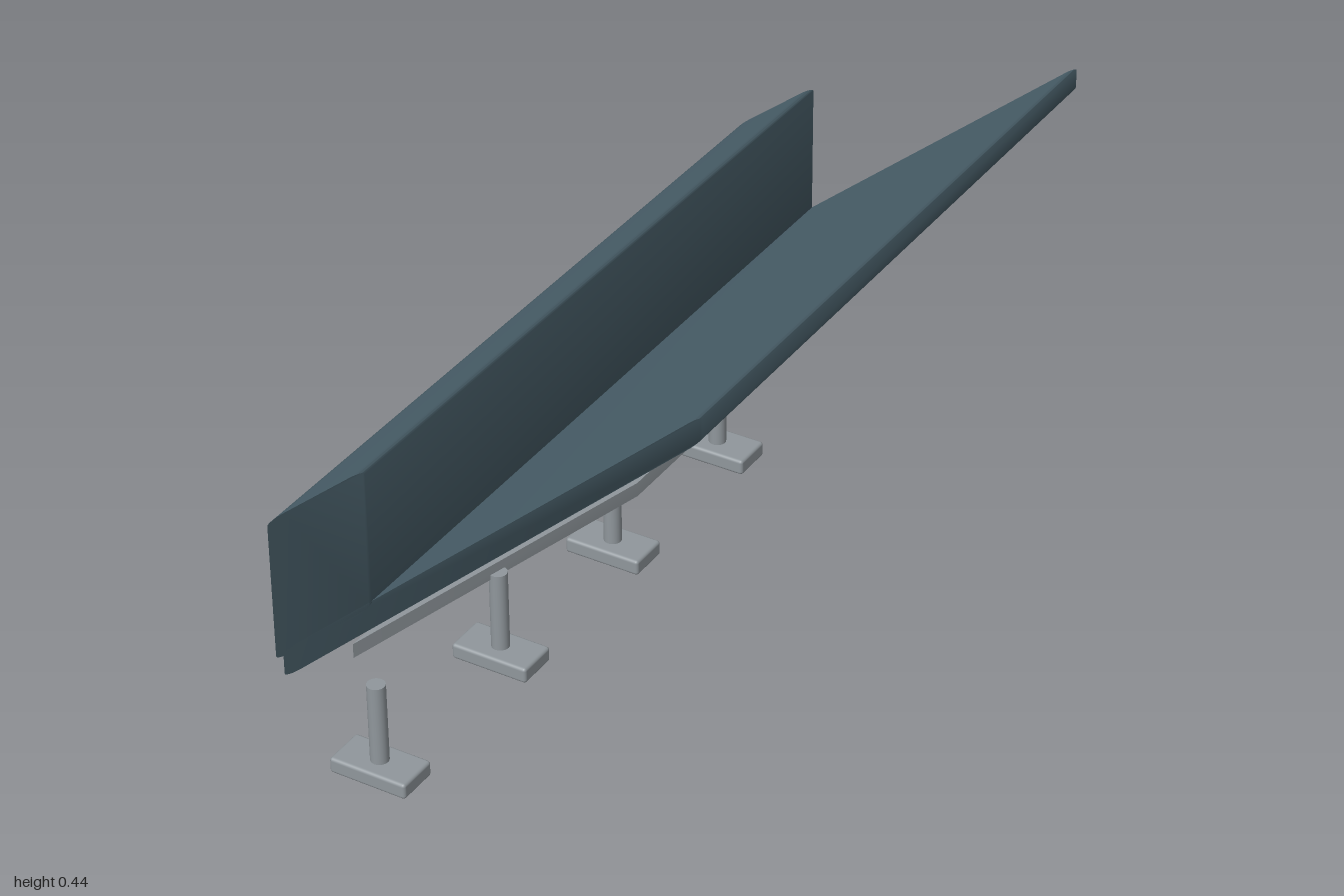
import * as THREE from 'three';
import { toCreasedNormals } from 'three/addons/utils/BufferGeometryUtils.js';
import { RoundedBoxGeometry } from 'three/addons/geometries/RoundedBoxGeometry.js';

const SLOPE = -4.04; // z shift per unit of x, giving the slanted plan
const FRONT = 0.606, LENGTH = 1.22;

// Rectangle in x/y with rounded corners of radius r
function profile(x0, x1, y0, y1, r) {
  const s = new THREE.Shape();
  if (r === 0) {
    s.moveTo(x0, y0).lineTo(x1, y0).lineTo(x1, y1).lineTo(x0, y1);
    return s;
  }
  s.absarc(x1 - r, y0 + r, r, -Math.PI / 2, 0);
  s.absarc(x1 - r, y1 - r, r, 0, Math.PI / 2);
  s.absarc(x0 + r, y1 - r, r, Math.PI / 2, Math.PI);
  s.absarc(x0 + r, y0 + r, r, Math.PI, Math.PI * 1.5);
  s.closePath();
  return s;
}

// Bar along z whose ends are sheared into a parallelogram plan
function slantedBar(name, material, x0, x1, y0, y1, r) {
  const geo = new THREE.ExtrudeGeometry(profile(x0, x1, y0, y1, r), {
    depth: LENGTH, bevelEnabled: false, curveSegments: 5,
  });
  const shear = new THREE.Matrix4().set(
    1, 0, 0, 0,
    0, 1, 0, 0,
    SLOPE, 0, 1, FRONT - LENGTH,
    0, 0, 0, 1);
  geo.applyMatrix4(shear);
  const mesh = new THREE.Mesh(toCreasedNormals(geo, 0.6), material);
  mesh.name = name;
  return mesh;
}

export function createModel() {
  const model = new THREE.Group();
  model.name = 'bench';
  const upholstery = new THREE.MeshStandardMaterial({ color: 0x455a64 });
  const metal = new THREE.MeshStandardMaterial({ color: 0x90979c });

  // Cushions and the rail beneath them
  model.add(
    slantedBar('seat', upholstery, -0.095, 0.097, 0.175, 0.22, 0.007),
    slantedBar('backrest', upholstery, -0.098, -0.057, 0.21, 0.435, 0.007),
    slantedBar('rail', metal, -0.066, 0.065, 0.144, 0.167, 0));

  // Row of pedestal legs
  const footGeo = new RoundedBoxGeometry(0.124, 0.025, 0.066, 3, 0.005);
  const postGeo = new THREE.CylinderGeometry(0.0135, 0.0135, 0.131, 20);
  for (const z of [0.915, 0.612, 0.309, 0.006]) {
    const leg = new THREE.Group();
    leg.name = 'leg';
    const foot = new THREE.Mesh(footGeo, metal);
    foot.name = 'foot';
    foot.position.y = 0.0125;
    const post = new THREE.Mesh(postGeo, metal);
    post.name = 'post';
    post.position.y = 0.0865;
    leg.add(foot, post);
    leg.position.z = z;
    model.add(leg);
  }
  return model;
}
